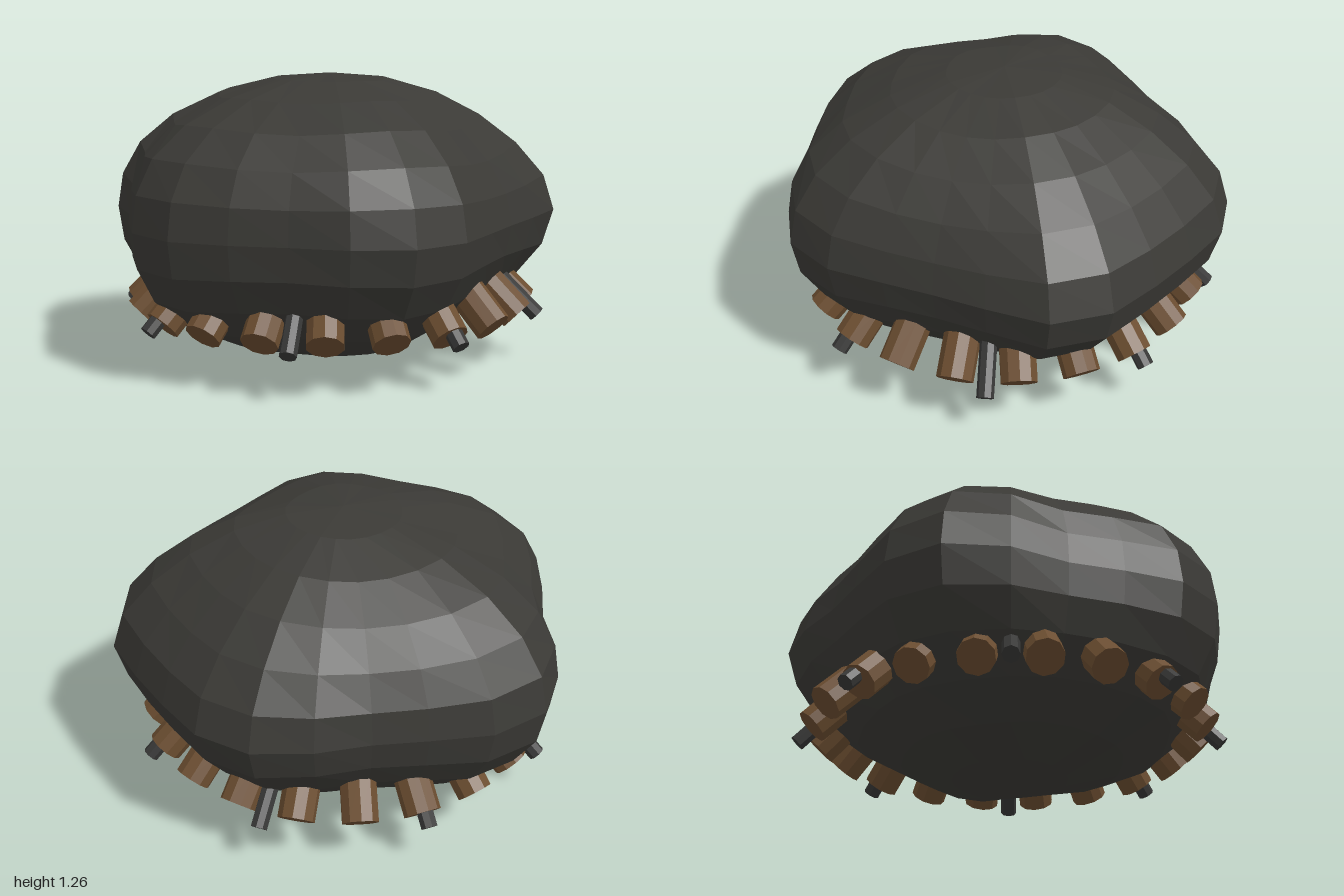
import * as THREE from 'three';

const mat = (color) => new THREE.MeshStandardMaterial({ color, flatShading: true, roughness: 0.9, side: THREE.DoubleSide });

// Lumpy radius around the shell, every 15 degrees from +x towards +z
const LUMPS = [0.97, 1.03, 1.025, 0.91, 0.86, 0.88, 0.965, 1.01, 0.97, 0.92, 0.95, 1.01,
  1.0, 0.925, 0.9, 1.0, 1.06, 1.01, 0.91, 0.875, 0.93, 1.0, 1.0, 0.96];
const CENTER_Y = 0.635, SQUASH = 0.6;

// Squashed sphere whose lumps fade out towards the poles, leaning to -x between rim and pole
function makeShell() {
  const geo = new THREE.SphereGeometry(1, 24, 12);
  const p = geo.attributes.position;
  for (let i = 0; i < p.count; i++) {
    const column = (36 - (i % 25)) % 24;
    const theta = column * Math.PI / 12;
    const lat = Math.PI / 2 - Math.floor(i / 25) * Math.PI / 12;
    const fade = Math.sin(lat) ** 2;
    const lean = -0.06 * Math.sin(2 * lat) ** 2 * Math.cos(theta);
    const r = Math.cos(lat) * (THREE.MathUtils.lerp(LUMPS[column], 0.975, 0.9 * fade) + lean);
    const h = SQUASH * Math.sin(lat) * THREE.MathUtils.lerp(LUMPS[column], 1.05, fade);
    p.setXYZ(i, r * Math.cos(theta), CENTER_Y + h, r * Math.sin(theta));
  }
  geo.computeVertexNormals();
  const shell = new THREE.Mesh(geo, mat(0x3b3a36));
  shell.name = 'shell';
  return shell;
}

// Ring of cylinders pointing outwards and 45 degrees down; tipR and tipY locate the outer end
function makeRing(name, count, radius, length, sides, tipR, tipY, material) {
  const ring = new THREE.Group();
  ring.name = name + 'Ring';
  const geo = new THREE.CylinderGeometry(radius, radius, length, sides);
  geo.translate(0, length / 2, 0);
  geo.rotateX(-Math.PI / 4);
  geo.translate(0, tipY, tipR);
  for (let i = 0; i < count; i++) {
    const part = new THREE.Mesh(geo, material);
    part.name = name;
    part.rotation.y = i * 2 * Math.PI / count;
    ring.add(part);
  }
  return ring;
}

export function createModel() {
  const model = new THREE.Group();
  model.name = 'lumpyShell';
  model.add(makeShell());
  // Stubby feet and thin pegs under the rim
  model.add(makeRing('foot', 20, 0.08, 0.19, 10, 0.865, 0.225, mat(0x6b4d30)));
  model.add(makeRing('peg', 8, 0.037, 0.28, 8, 0.935, 0.2, mat(0x373736)));
  return model;
}
